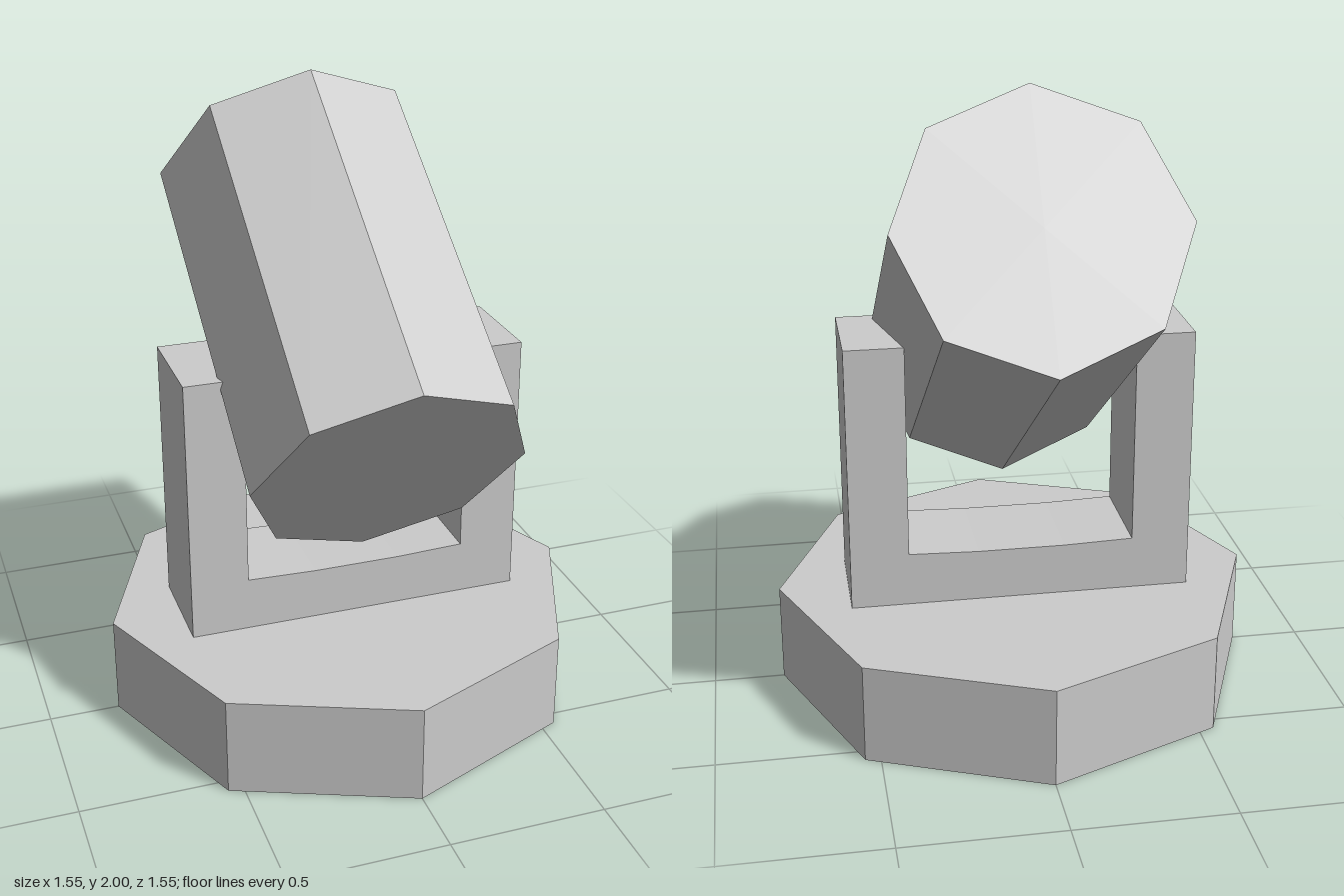
import * as THREE from 'three';

export function createModel() {
  const model = new THREE.Group();
  const grey = new THREE.MeshStandardMaterial({ color: 0xcccccc, flatShading: true });
  grey.name = 'grey';

  const add = (name, geometry) => {
    const mesh = new THREE.Mesh(geometry, grey);
    mesh.name = name;
    model.add(mesh);
    return mesh;
  };

  // Octagonal foot
  add('base', new THREE.CylinderGeometry(0.775, 0.775, 0.32, 8)).position.y = 0.16;

  // U-shaped yoke, its crossbar very slightly dished
  const outline = [
    [-0.55, 0.3], [0.55, 0.3], [0.55, 1.19], [0.363, 1.19], [0.363, 0.495],
    [0.14, 0.488], [-0.14, 0.488], [-0.363, 0.495], [-0.363, 1.19], [-0.55, 1.19],
  ];
  const yoke = new THREE.Shape(outline.map(([x, y]) => new THREE.Vector2(x, y)));
  add('yoke', new THREE.ExtrudeGeometry(yoke, { depth: 0.335, bevelEnabled: false }))
    .position.z = -0.17;

  // Octagonal lamp body, front end tipped down
  const lamp = add('lampBody', new THREE.CylinderGeometry(0.435, 0.435, 1.21, 8));
  lamp.position.set(0, 1.3, -0.031);
  lamp.rotation.x = -Math.atan2(1, 0.687);

  return model;
}
